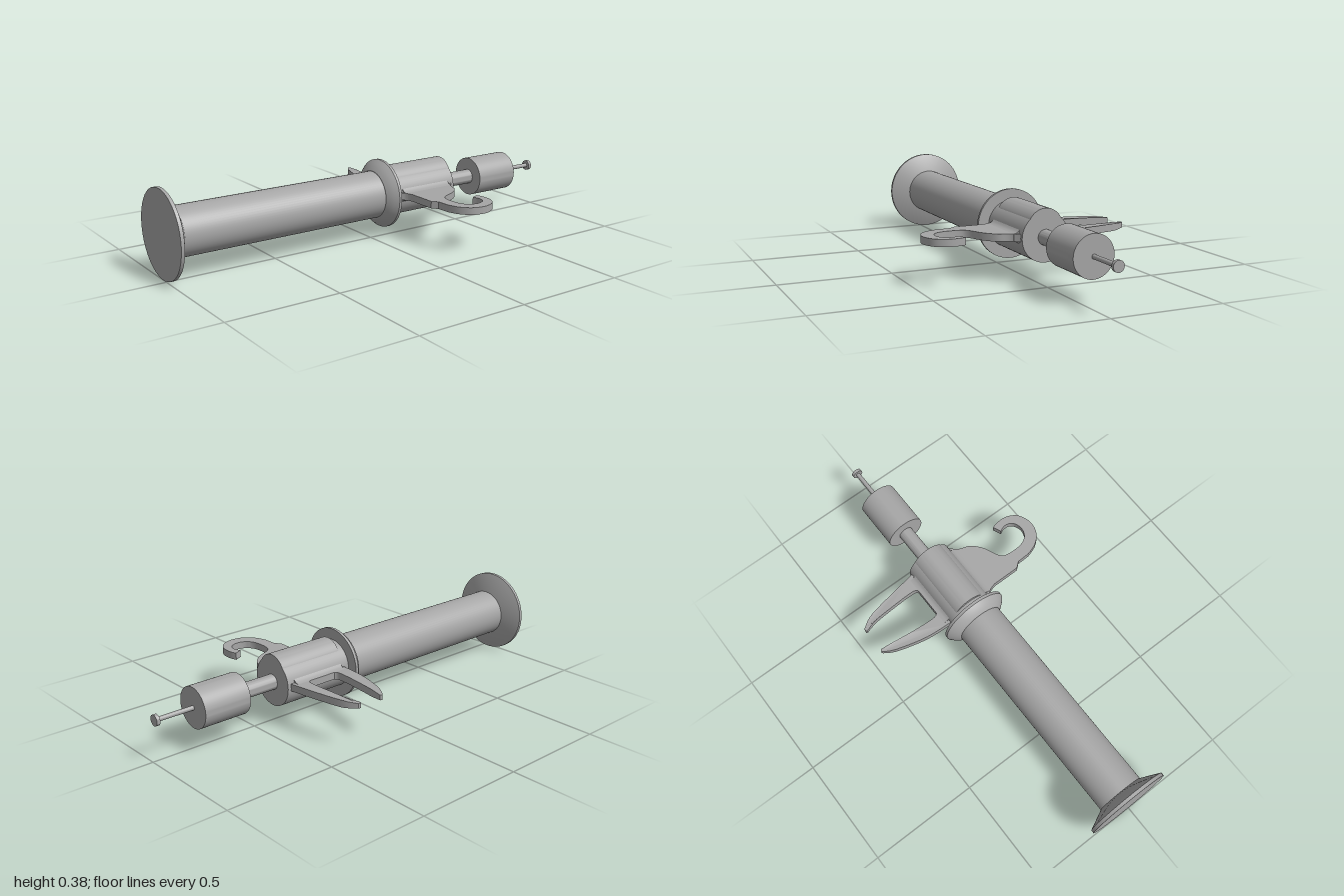
import * as THREE from 'three';
import { toCreasedNormals } from 'three/addons/utils/BufferGeometryUtils.js';

const AXIS_Y = 0.192, AXIS_Z = -0.03;

export function createModel() {
  const model = new THREE.Group();
  const metal = new THREE.MeshStandardMaterial({ color: 0xa6a6a6 });
  metal.name = 'grey metal';

  const add = (name, geometry) => {
    const mesh = new THREE.Mesh(toCreasedNormals(geometry, 0.5), metal);
    mesh.name = name;
    model.add(mesh);
    return mesh;
  };

  // Round part on the long axis, from [x, radius] pairs
  const turned = (name, profile, y = AXIS_Y) => {
    const pts = [[profile[0][0], 0], ...profile, [profile.at(-1)[0], 0]];
    const g = new THREE.LatheGeometry(pts.map(([x, r]) => new THREE.Vector2(r, x)), 64);
    g.rotateZ(-Math.PI / 2);
    add(name, g).position.set(0, y, AXIS_Z);
  };

  turned('pommel', [[-1, 0.192], [-0.985, 0.192], [-0.945, 0.107]]);
  turned('grip', [[-0.95, 0.107], [0.04, 0.107]]);
  turned('collar', [[0.03, 0.112], [0.038, 0.124], [0.052, 0.141], [0.07, 0.156], [0.083, 0.156], [0.083, 0.1]]);
  turned('barrel', [[0.08, 0.107], [0.42, 0.107]]);
  turned('barrelRidge', [[0.11, 0.08], [0.42, 0.08]], 0.235);
  turned('rod', [[0.41, 0.034], [0.61, 0.034]]);
  turned('block', [[0.6, 0.09], [0.82, 0.09]]);
  turned('needle', [[0.81, 0.01], [0.99, 0.01]]);
  turned('needleHead', [[0.985, 0.024], [1, 0.024]]);

  // Flat plate from smooth outline runs of [x, z] points
  const plate = (name, runs) => {
    const outline = runs.flatMap((run) => {
      const pts = run.map(([x, z]) => new THREE.Vector2(x, z));
      return pts.length > 2 ? new THREE.SplineCurve(pts).getPoints(pts.length * 4) : pts;
    });
    const g = new THREE.ExtrudeGeometry(new THREE.Shape(outline), { depth: 0.032, bevelEnabled: false });
    g.translate(0, 0, -0.016);
    g.rotateX(Math.PI / 2);
    // Thin the far tips of the prongs
    const p = g.attributes.position;
    for (let i = 0; i < p.count; i++) {
      const t = THREE.MathUtils.clamp((-p.getZ(i) - 0.4) / 0.06, 0, 1);
      p.setY(i, p.getY(i) * (1 - 0.3 * t));
    }
    g.computeVertexNormals();
    add(name, g).position.y = 0.194;
  };

  plate('prongs', [
    [[0.11, -0.05], [0.11, -0.13]],
    [[0.11, -0.137], [0.12, -0.265], [0.155, -0.4], [0.185, -0.457]],
    [[0.19, -0.462], [0.2, -0.458]],
    [[0.196, -0.425], [0.18, -0.29], [0.174, -0.185], [0.187, -0.158]],
    [[0.318, -0.158], [0.334, -0.185], [0.33, -0.32], [0.323, -0.4], [0.307, -0.455]],
    [[0.31, -0.462], [0.322, -0.46]],
    [[0.325, -0.457], [0.356, -0.4], [0.381, -0.28], [0.404, -0.137]],
    [[0.404, -0.05]],
  ]);

  plate('hook', [
    [[0.095, -0.01], [0.095, 0.07]],
    [[0.1, 0.073], [0.125, 0.1], [0.137, 0.135]],
    [[0.137, 0.265], [0.158, 0.29]],
    [[0.16, 0.35], [0.18, 0.405], [0.22, 0.445], [0.28, 0.458], [0.34, 0.435], [0.37, 0.39], [0.374, 0.34], [0.365, 0.303]],
    [[0.328, 0.32], [0.339, 0.353], [0.326, 0.388], [0.285, 0.405], [0.243, 0.392], [0.218, 0.35],
      [0.217, 0.275], [0.238, 0.238], [0.307, 0.205], [0.355, 0.163], [0.376, 0.11], [0.41, 0.073]],
    [[0.41, -0.01]],
  ]);

  // Flared roots where both plates meet the barrel
  const half = [[0.099, 0.034], [0.107, 0.025], [0.116, 0.019], [0.13, 0.016]];
  const back = half.toReversed();
  const root = new THREE.Shape([
    ...half.map(([d, h]) => [d, -h]), ...back,
    ...half.map(([d, h]) => [-d, h]), ...back.map(([d, h]) => [-d, -h]),
  ].map(([x, y]) => new THREE.Vector2(x, y)));
  const flare = new THREE.ExtrudeGeometry(root, { depth: 0.26, bevelEnabled: false });
  flare.rotateY(Math.PI / 2);
  add('plateRoots', flare).position.set(0.125, 0.194, AXIS_Z);

  return model;
}
